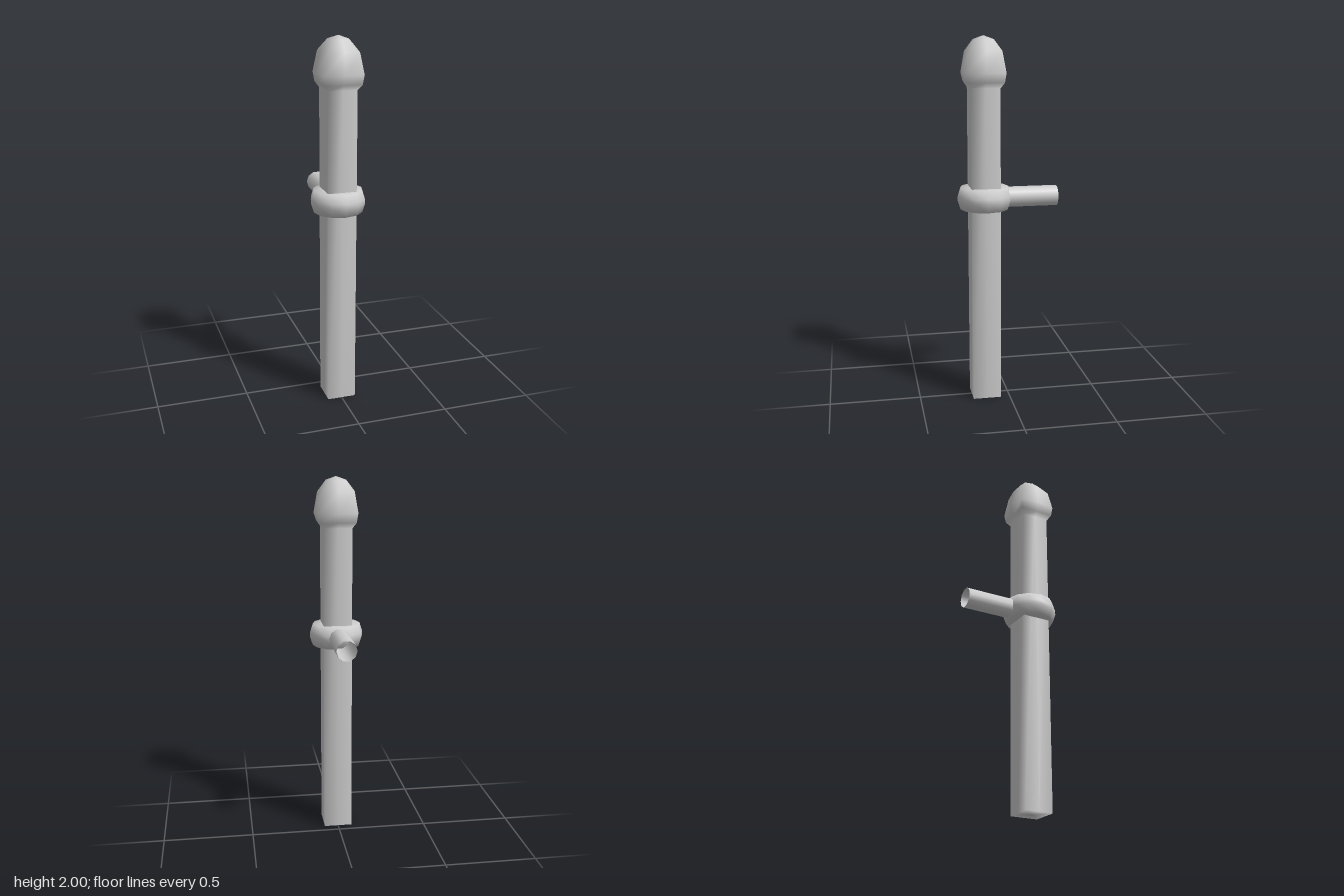
import * as THREE from 'three';

const CZ = 0.128; // depth of the post axis

// Smooth loft through 8-point rounded-square rings: [y, half width at corner, half width at side middle]
function squareLoft(rings, bottomY, topY) {
  const pos = [], idx = [];
  for (const [y, corner, mid] of rings) {
    for (let i = 0; i < 8; i++) {
      const a = (i * Math.PI) / 4;
      const r = i % 2 ? corner * Math.SQRT2 : mid;
      pos.push(Math.sin(a) * r, y, Math.cos(a) * r);
    }
  }
  const last = (rings.length - 1) * 8;
  const bottom = rings.length * 8, top = bottom + 1;
  pos.push(0, bottomY, 0, 0, topY, 0);
  for (let i = 0; i < 8; i++) {
    const j = (i + 1) % 8;
    for (let k = 0; k < last; k += 8) {
      idx.push(k + i, k + j, k + 8 + j, k + i, k + 8 + j, k + 8 + i);
    }
    idx.push(bottom, j, i, top, last + i, last + j);
  }
  const geo = new THREE.BufferGeometry();
  geo.setAttribute('position', new THREE.Float32BufferAttribute(pos, 3));
  geo.setIndex(idx);
  geo.computeVertexNormals();
  return geo;
}

export function createModel() {
  const model = new THREE.Group();
  const grey = new THREE.MeshStandardMaterial({ color: 0xcccccc });
  const open = new THREE.MeshStandardMaterial({ color: 0xcccccc, side: THREE.DoubleSide });
  const add = (name, geo, mat, y, z) => {
    const mesh = new THREE.Mesh(geo, mat);
    mesh.name = name;
    mesh.position.set(0, y, z);
    model.add(mesh);
  };

  // Square post flaring into a rounded knob
  add('postWithKnob', squareLoft([
    [0, 0.078, 0.078],
    [1.73, 0.078, 0.078],
    [1.76, 0.098, 0.1],
    [1.81, 0.105, 0.122],
    [1.92, 0.086, 0.102],
    [1.98, 0.045, 0.056],
  ], 0, 2), grey, 0, CZ);

  // Twelve-sided collar around the post
  const profile = [[0.07, -0.06], [0.132, -0.06], [0.148, -0.01], [0.146, 0.015], [0.132, 0.06], [0.07, 0.06]]
    .map(([r, y]) => new THREE.Vector2(r, y));
  add('collar', new THREE.LatheGeometry(profile, 12), open, 1.138, 0.126);

  // Open tube pointing backwards from the collar
  const tube = new THREE.CylinderGeometry(0.056, 0.056, 0.305, 10, 1, true);
  tube.rotateY(Math.PI / 2).rotateX(Math.PI / 2);
  add('sideTube', tube, open, 1.138, -0.1215);

  return model;
}
